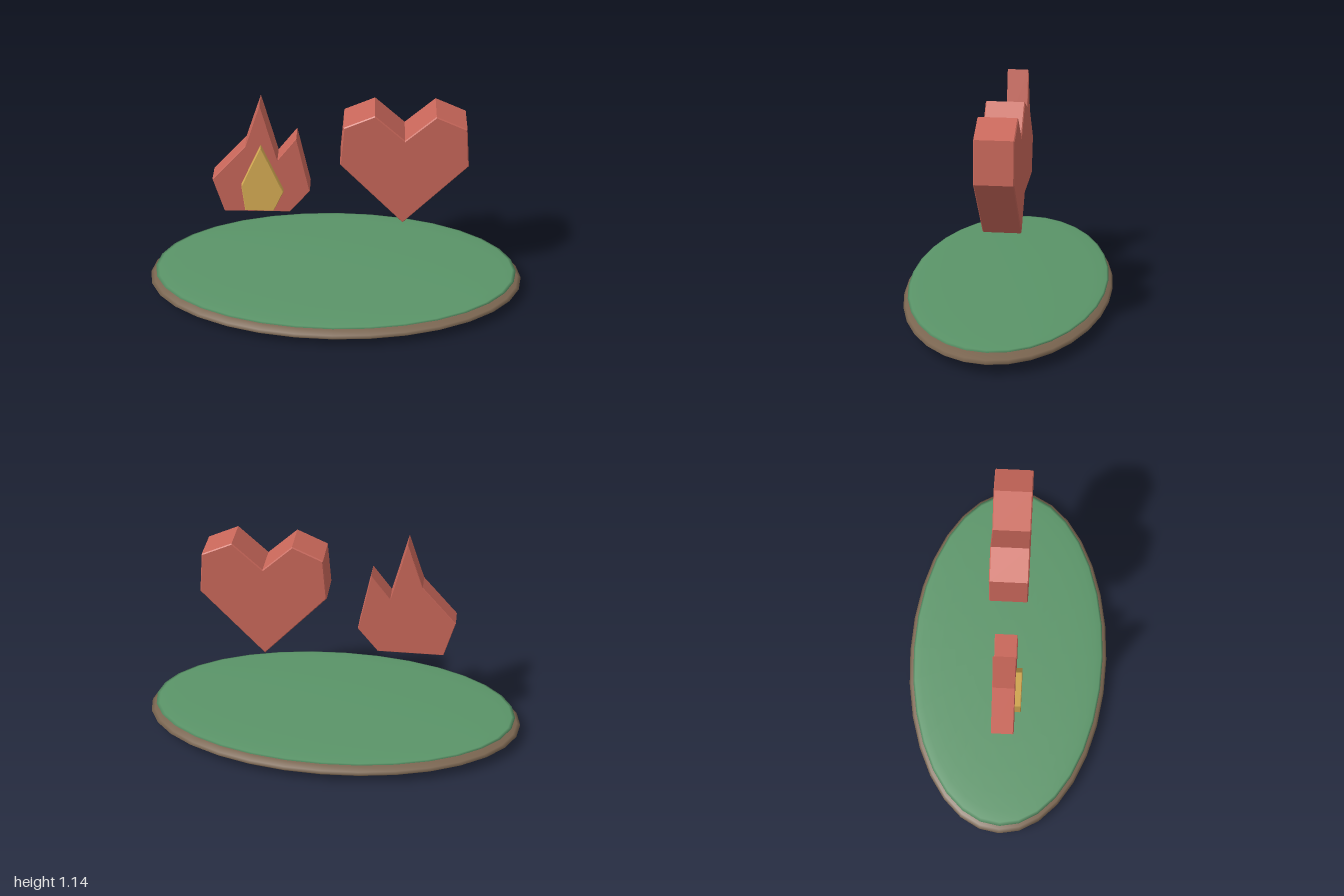
import * as THREE from 'three';

const material = (color) => new THREE.MeshStandardMaterial({ color });

// Flattened ellipsoid disc
function disc(name, color, y, rx, ry, rz) {
  const geometry = new THREE.SphereGeometry(1, 32, 16);
  geometry.scale(rx, ry, rz);
  const mesh = new THREE.Mesh(geometry, material(color));
  mesh.name = name;
  mesh.position.y = y;
  return mesh;
}

// Upright plate cut from an outline, with a fine bevel kept inside the outline
function plate(name, color, outline, zBack, zFront, bevel) {
  const shape = new THREE.Shape(outline.map(([x, y]) => new THREE.Vector2(x, y)));
  const geometry = new THREE.ExtrudeGeometry(shape, {
    depth: zFront - zBack - 2 * bevel,
    bevelEnabled: true,
    bevelThickness: bevel,
    bevelSize: bevel,
    bevelOffset: -bevel,
    bevelSegments: 1,
  });
  geometry.translate(0, 0, zBack + bevel);
  const mesh = new THREE.Mesh(geometry, material(color));
  mesh.name = name;
  return mesh;
}

export function createModel() {
  const model = new THREE.Group();
  model.name = 'heartAndFlameIsland';

  // Oval ground: earth below, thin grass layer on top
  model.add(disc('earthBase', 0x7a6550, 0.06, 1, 0.06, 0.545));
  model.add(disc('grassTop', 0x5a9468, 0.105, 0.97, 0.018, 0.522));

  // Heart: one half outline mirrored about x = 0.35
  const half = [[0.325, 0.825], [0.307, 1.04], [0.152, 1.11]];
  const heart = [
    [0, 0.475],
    ...half,
    [0, 0.97],
    ...half.map(([x, y]) => [-x, y]).reverse(),
  ].map(([x, y]) => [x + 0.35, y]);
  model.add(plate('heart', 0xc9675a, heart, -0.098, 0.098, 0.005));

  // Flame with a smaller yellow core on its front
  const flame = new THREE.Group();
  flame.name = 'flame';
  flame.add(plate('outerFlame', 0xc9675a, [
    [-0.575, 0.505], [-0.235, 0.505], [-0.13, 0.635], [-0.195, 0.95],
    [-0.293, 0.82], [-0.375, 1.14], [-0.455, 0.9], [-0.63, 0.7],
  ], -0.056, 0.056, 0.003));
  flame.add(plate('innerFlame', 0xd9ae55, [
    [-0.465, 0.53], [-0.317, 0.53], [-0.265, 0.645], [-0.375, 0.912], [-0.48, 0.68],
  ], 0.05, 0.087, 0.003));
  model.add(flame);

  return model;
}
